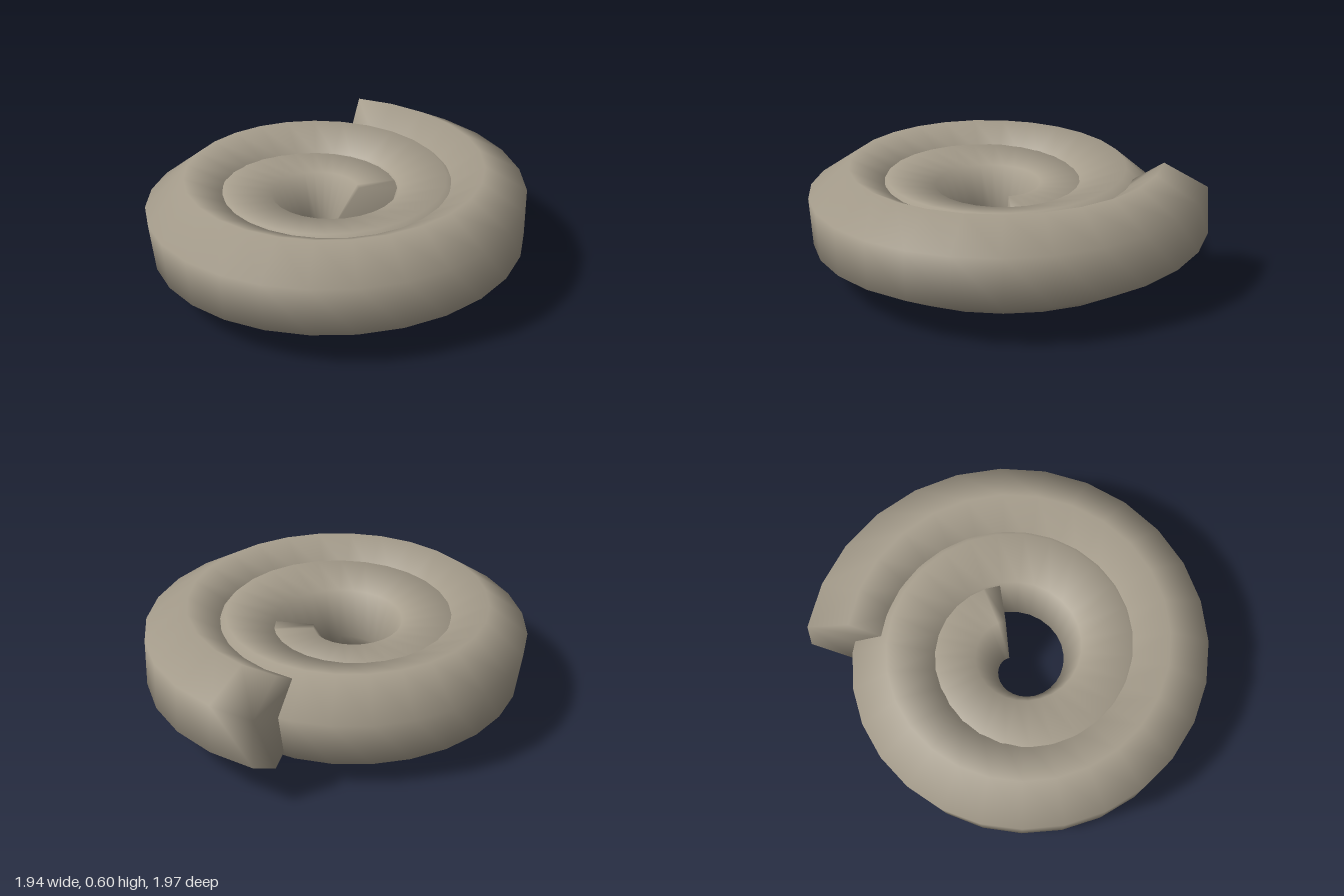
import * as THREE from 'three';

const SEGMENTS = 60, SIDES = 6, TURNS = 2.19;
const TUBE = 0.25;                            // hexagonal cross-section radius
const START_RADIUS = 0.3, PITCH = 0.255;      // spiral radius and growth per turn
const START_HEIGHT = 0.2165, RISE = 0.061;    // centre height and rise per turn
const CENTRE_X = -0.056, CENTRE_Z = 0.014;
const ROLL = THREE.MathUtils.degToRad(15.2);  // section roll per turn

function coilGeometry() {
  const pos = [], index = [];

  // hexagonal rings along the rising spiral
  for (let i = 0; i <= SEGMENTS; i++) {
    const t = (i / SEGMENTS) * TURNS;
    const a = t * Math.PI * 2;
    const r = START_RADIUS + PITCH * t;
    const facing = a - Math.atan(PITCH / (Math.PI * 2 * r)); // square to the path
    for (let j = 0; j < SIDES; j++) {
      const p = (j / SIDES) * Math.PI * 2 + ROLL * t;
      const out = TUBE * Math.cos(p);
      pos.push(
        CENTRE_X + r * Math.cos(a) + out * Math.cos(facing),
        START_HEIGHT + RISE * t + TUBE * Math.sin(p),
        CENTRE_Z - r * Math.sin(a) - out * Math.sin(facing)
      );
    }
  }

  // side walls
  for (let i = 0; i < SEGMENTS; i++) {
    for (let j = 0; j < SIDES; j++) {
      const k = (j + 1) % SIDES;
      const a = i * SIDES + j, c = i * SIDES + k;
      index.push(a, a + SIDES, c, c, a + SIDES, c + SIDES);
    }
  }

  // end caps share the ring vertices so they shade smoothly
  const last = SEGMENTS * SIDES;
  for (let j = 1; j < SIDES - 1; j++) {
    index.push(0, j, j + 1);
    index.push(last, last + j + 1, last + j);
  }

  const geometry = new THREE.BufferGeometry();
  geometry.setAttribute('position', new THREE.Float32BufferAttribute(pos, 3));
  geometry.setIndex(index);
  geometry.computeVertexNormals();
  return geometry;
}

export function createModel() {
  const group = new THREE.Group();
  group.name = 'spiralCoil';
  const stone = new THREE.MeshStandardMaterial({ color: 0xa79e8d });
  stone.name = 'warm grey';
  const coil = new THREE.Mesh(coilGeometry(), stone);
  coil.name = 'coil';
  group.add(coil);
  return group;
}
